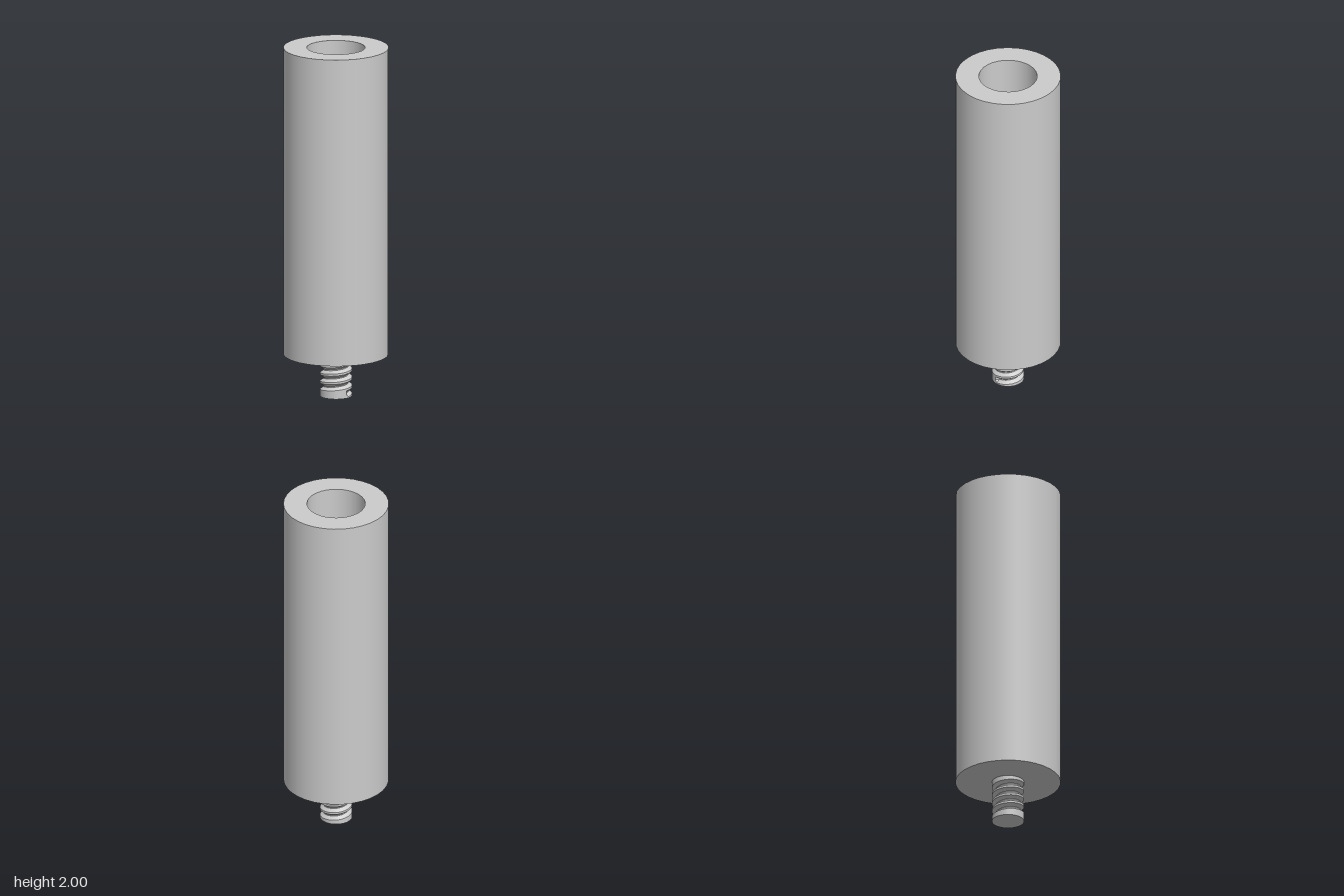
import * as THREE from 'three';
import { toCreasedNormals } from 'three/addons/utils/BufferGeometryUtils.js';

const TOP = 2, BASE = 0.24;            // sleeve ends
const OUTER = 0.294, OUTER_SIDES = 33;
const BORE = 0.163, BORE_SIDES = 31, BORE_FLOOR = 0.4;
const STUD = 0.09, ROOT = 0.07;        // thread crest and root radii
const PITCH = 0.048, TURNS = 4, START = -0.005;

function material(side = THREE.FrontSide) {
  return new THREE.MeshStandardMaterial({ color: 0xcccccc, side });
}

function add(parent, name, geometry, side) {
  const mesh = new THREE.Mesh(geometry, material(side));
  mesh.name = name;
  parent.add(mesh);
}

// Open tube wall with one corner on -z
function wall(radius, sides, y0, y1) {
  return new THREE.CylinderGeometry(radius, radius, y1 - y0, sides, 1, true, Math.PI)
    .translate(0, (y0 + y1) / 2, 0);
}

// Horizontal disc facing up (dir 1) or down (dir -1), one corner on -z
function disc(radius, sides, y, dir) {
  return new THREE.CircleGeometry(radius, sides, dir * Math.PI / 2)
    .rotateX(-dir * Math.PI / 2).translate(0, y, 0);
}

function ring(radius, sides) {
  return Array.from({ length: sides }, (_, i) => {
    const a = Math.PI / 2 + i * 2 * Math.PI / sides;
    return new THREE.Vector2(radius * Math.cos(a), radius * Math.sin(a));
  });
}

// Right-handed thread: rows follow the helix and are clamped at both ends
function threadGeometry(sides = 48) {
  const profile = [[0, STUD], [0.012, STUD], [0.027, ROOT], [0.033, ROOT]];
  const rows = [];
  for (let turn = -1; turn <= TURNS + 1; turn++) {
    for (const [offset, radius] of profile) rows.push({ turn, offset, radius });
  }
  const positions = [], indices = [];
  rows.forEach(({ turn, offset, radius }, j) => {
    for (let i = 0; i <= sides; i++) {
      const a = i / sides * 2 * Math.PI;
      const y = THREE.MathUtils.clamp(START + offset + (turn + i / sides) * PITCH, 0, BASE);
      const runOut = (turn === 0 && i === 0) || (turn === TURNS - 1 && i === sides);
      const r = turn < 0 || turn >= TURNS || runOut ? STUD : radius;
      positions.push(r * Math.cos(a), y, -r * Math.sin(a));
      if (j < rows.length - 1 && i < sides) {
        const p = j * (sides + 1) + i, q = p + sides + 1;
        indices.push(p, p + 1, q, p + 1, q + 1, q);
      }
    }
  });
  const geometry = new THREE.BufferGeometry();
  geometry.setAttribute('position', new THREE.Float32BufferAttribute(positions, 3));
  geometry.setIndex(indices);
  return toCreasedNormals(geometry, Math.PI / 7);
}

export function createModel() {
  const model = new THREE.Group();
  model.name = 'threadedStandoff';

  // Sleeve with a blind bore
  const sleeve = new THREE.Group();
  sleeve.name = 'sleeve';
  const rim = new THREE.Shape(ring(OUTER, OUTER_SIDES));
  rim.holes.push(new THREE.Path(ring(BORE, BORE_SIDES)));
  add(sleeve, 'outerWall', wall(OUTER, OUTER_SIDES, BASE, TOP));
  add(sleeve, 'boreWall', wall(BORE, BORE_SIDES, BORE_FLOOR, TOP), THREE.BackSide);
  add(sleeve, 'topRim', new THREE.ShapeGeometry(rim).rotateX(-Math.PI / 2).translate(0, TOP, 0));
  add(sleeve, 'boreFloor', disc(BORE, BORE_SIDES, BORE_FLOOR, 1));
  add(sleeve, 'underside', disc(OUTER, OUTER_SIDES, BASE, -1));

  // Threaded stud below the sleeve
  const stud = new THREE.Group();
  stud.name = 'stud';
  add(stud, 'thread', threadGeometry());
  add(stud, 'studEnd', disc(STUD, 48, 0, -1));

  model.add(sleeve, stud);
  return model;
}
